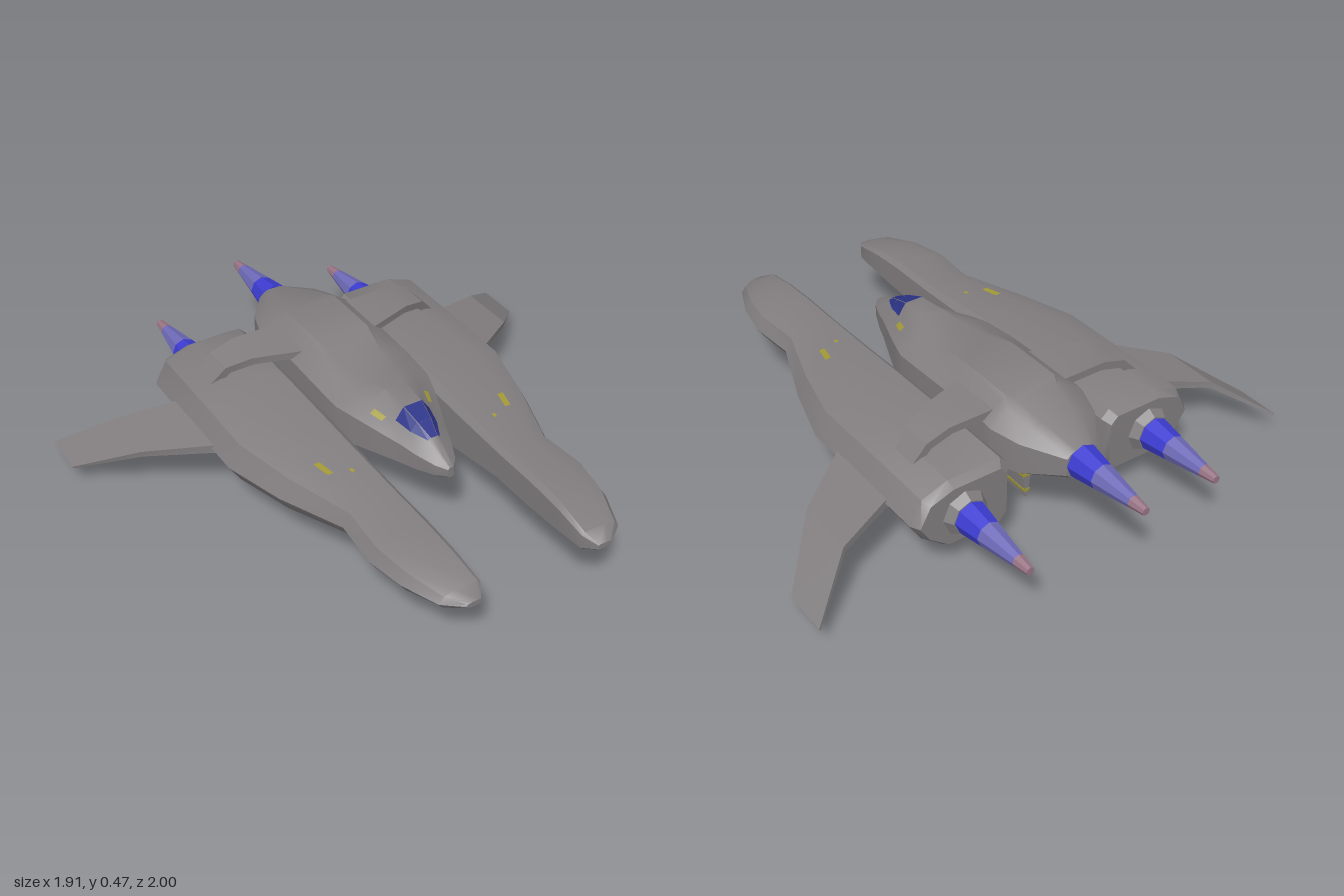
import * as THREE from 'three';
import { toCreasedNormals } from 'three/addons/utils/BufferGeometryUtils.js';

const paint = (name, color) => {
  const m = new THREE.MeshStandardMaterial({ color });
  m.name = name;
  return m;
};

// Closed skin over a list of rings, each ring a list of [x, y, z]
function loft(rings, crease = 0.6) {
  const n = rings[0].length, idx = [];
  for (let i = 0; i < rings.length - 1; i++) {
    for (let j = 0; j < n; j++) {
      const k = (j + 1) % n, a = i * n + j, b = i * n + k;
      idx.push(a, b, b + n, a, b + n, a + n);
    }
  }
  const last = (rings.length - 1) * n;
  for (let j = 1; j < n - 1; j++) idx.push(0, j + 1, j, last, last + j, last + j + 1);
  const g = new THREE.BufferGeometry();
  g.setAttribute('position', new THREE.Float32BufferAttribute(rings.flat(2), 3));
  g.setIndex(idx);
  return toCreasedNormals(g, crease);
}

// Thin face lying just above one cell of a lofted skin
function patch(rings, i, u0, u1, j, v0, v1, lift = 0.003) {
  const k = (j + 1) % rings[0].length;
  const at = (r, c) => new THREE.Vector3(...rings[r][c]);
  const point = (u, v) => at(i, j).lerp(at(i, k), v).lerp(at(i + 1, j).lerp(at(i + 1, k), v), u);
  const p = [point(u0, v0), point(u0, v1), point(u1, v1), point(u1, v0)];
  const normal = p[2].clone().sub(p[0]).cross(p[3].clone().sub(p[1])).normalize();
  const v = p.map((q) => q.addScaledVector(normal, lift).toArray());
  const g = new THREE.BufferGeometry();
  g.setAttribute('position', new THREE.Float32BufferAttribute([0, 1, 2, 0, 2, 3].flatMap((q) => v[q]), 3));
  g.computeVertexNormals();
  return g;
}

// Copy reflected across x = 0, with corner order restored
function mirror(geo) {
  const g = geo.index ? geo.toNonIndexed() : geo.clone();
  for (const name of ['position', 'normal']) {
    const a = g.attributes[name].array;
    for (let t = 0; t < a.length; t += 9) {
      for (let c = 0; c < 3; c++) [a[t + 3 + c], a[t + 6 + c]] = [a[t + 6 + c], a[t + 3 + c]];
      for (let c = 0; c < 9; c += 3) a[t + c] *= -1;
    }
  }
  return g;
}

// Wing slab from stations [x, y, thicknessX, thicknessY, leadZ, trailZ]
const slab = (stations) => loft(stations.map(([x, y, dx, dy, l, t]) =>
  [[x - dx, y - dy, l], [x - dx, y - dy, t], [x, y, t], [x, y, l]]), 0.3);

export function createModel() {
  const model = new THREE.Group();
  const hull = paint('hull grey', 0x827e80);
  const glass = paint('canopy blue', 0x2c3488);
  const yellow = paint('marking yellow', 0xa39a35);
  const blue = paint('flame blue', 0x3c3cd2);
  const lilac = paint('flame lilac', 0x6e6ab8);
  const pink = paint('flame pink', 0x987484);

  const add = (name, geo, mat) => {
    const m = new THREE.Mesh(geo, mat);
    m.name = name;
    model.add(m);
  };
  const pair = (name, geo, mat) => {
    add('left ' + name, geo, mat);
    add('right ' + name, mirror(geo), mat);
  };

  // Fuselage: z, side half width, side low y, side high y, shoulder x, y, top x, y, bottom x, y
  const body = [
    [-0.69, 0.062, 0.30, 0.365, 0.045, 0.38, 0.025, 0.388, 0.035, 0.28],
    [-0.56, 0.155, 0.27, 0.385, 0.10, 0.42, 0.06, 0.43, 0.11, 0.245],
    [-0.45, 0.19, 0.26, 0.395, 0.12, 0.445, 0.08, 0.462, 0.15, 0.235],
    [-0.41, 0.19, 0.26, 0.40, 0.12, 0.455, 0.10, 0.47, 0.16, 0.235],
    [-0.18, 0.19, 0.26, 0.40, 0.12, 0.455, 0.10, 0.47, 0.16, 0.235],
    [-0.05, 0.19, 0.26, 0.395, 0.12, 0.43, 0.08, 0.44, 0.16, 0.235],
    [0.08, 0.185, 0.26, 0.385, 0.11, 0.425, 0.06, 0.438, 0.15, 0.235],
    [0.16, 0.16, 0.265, 0.38, 0.095, 0.42, 0.04, 0.455, 0.12, 0.24],
    [0.27, 0.118, 0.275, 0.365, 0.065, 0.402, 0.035, 0.445, 0.085, 0.25],
    [0.34, 0.09, 0.28, 0.355, 0.05, 0.392, 0.025, 0.42, 0.06, 0.26],
    [0.40, 0.07, 0.285, 0.345, 0.022, 0.385, 0.012, 0.39, 0.045, 0.268],
    [0.47, 0.04, 0.295, 0.335, 0.015, 0.35, 0.008, 0.355, 0.02, 0.28],
    [0.505, 0.012, 0.305, 0.328, 0.008, 0.333, 0.005, 0.335, 0.008, 0.295],
  ].map(([z, w, lo, hi, s, ys, t, yt, b, yb]) => {
    const half = [[b, yb, z], [w, lo, z], [w, hi, z], [s, ys, z], [t, yt, z]];
    return [...half, ...half.map(([x, y]) => [-x, y, z]).reverse()];
  });
  add('fuselage', loft(body), hull);
  for (const i of [8, 9]) for (const j of [3, 4, 5]) add('canopy', patch(body, i, 0, 1, j, 0, 1), glass);
  pair('cockpit mark', patch(body, 7, 0.25, 0.7, 2, 0.55, 0.85), yellow);
  add('belly mark', patch(body, 5, 0.2, 1, 9, 0.3, 0.7), yellow);
  add('belly mark front', patch(body, 6, 0, 0.8, 9, 0.3, 0.7), yellow);

  // Side pods: z, inner x, outer x, top y, bottom y
  const pod = [
    [-0.58, 0.215, 0.55, 0.34, 0.125],
    [-0.55, 0.195, 0.57, 0.36, 0.11],
    [-0.2, 0.195, 0.57, 0.36, 0.105],
    [0.02, 0.195, 0.57, 0.355, 0.115],
    [0.25, 0.195, 0.505, 0.34, 0.135],
    [0.5, 0.195, 0.41, 0.325, 0.185],
    [0.68, 0.195, 0.425, 0.325, 0.188],
    [0.82, 0.195, 0.40, 0.315, 0.20],
    [0.95, 0.195, 0.345, 0.29, 0.22],
    [1, 0.225, 0.28, 0.265, 0.245],
  ].map(([z, xi, xo, yt, yb]) => {
    const w = xo - xi, h = yt - yb, mid = yb + h * 0.52;
    return [
      [xi + 0.08 * w, yb], [xi + 0.68 * w, yb], [xo - 0.11 * w, yb + 0.25 * h],
      [xo, mid], [xo - 0.12 * w, yt - 0.14 * h], [xi + 0.62 * w, yt],
      [xi + 0.08 * w, yt], [xi, yt - 0.12 * h], [xi, yb + 0.14 * h],
    ].map(([x, y]) => [x, y, z]);
  });
  pair('pod', loft(pod), hull);
  pair('pod mark', patch(pod, 4, 0.05, 0.32, 5, 0.02, 0.16), yellow);
  pair('pod dot', patch(pod, 4, 0.36, 0.43, 5, 0.5, 0.58), yellow);
  for (let k = 0; k < 3; k++) {
    pair('pod underside mark', patch(pod, 2, 0.1 + k * 0.28, 0.3 + k * 0.28, 0, 0.5, 0.85), yellow);
  }

  // Swept lower wings
  pair('wing', slab([
    [0.5, 0.265, 0, 0.035, -0.06, -0.39],
    [0.57, 0.25, 0, 0.032, -0.11, -0.41],
    [0.77, 0.208, 0.005, 0.022, -0.255, -0.48],
    [0.955, 0.08, 0.004, 0.008, -0.46, -0.63],
  ]), hull);

  // Arched upper braces and slanted lower struts joining pods to fuselage
  pair('upper brace', slab([
    [0.12, 0.432, 0, 0.028, -0.2, -0.41],
    [0.32, 0.432, 0.01, 0.028, -0.262, -0.41],
    [0.41, 0.405, 0.02, 0.025, -0.293, -0.41],
    [0.47, 0.34, 0.025, 0.012, -0.31, -0.41],
  ]), hull);
  pair('lower strut', slab([
    [0.12, 0.255, 0.01, 0.025, -0.13, -0.41],
    [0.25, 0.16, 0.01, 0.025, -0.13, -0.41],
  ]), hull);

  // Ventral fin with two painted bands
  const lead = [[0, -0.24], [0.02, -0.2], [0.05, -0.17], [0.1, -0.13], [0.25, -0.05]];
  const finRing = (y, z, grow = 0) => {
    const w = 0.006 + y * 0.1 + grow, end = -0.41 - grow;
    return [[0, y, z + grow], [w, y, z - 0.07], [w, y, end], [-w, y, end], [-w, y, z - 0.07]];
  };
  add('ventral fin', loft(lead.map(([y, z]) => finRing(y, z))), hull);
  for (const [y, z] of [[0.022, -0.198], [0.088, -0.14]]) {
    add('fin stripe', loft([finRing(y, z, 0.002), finRing(y + 0.012, z + 0.01, 0.002)]), yellow);
  }

  // Tapered eight-sided rings pointing backwards
  const cone = (x, y, z, len, r0, r1) => {
    const g = new THREE.CylinderGeometry(r1, r0, len, 8);
    g.rotateX(-Math.PI / 2).translate(x, y, z - len / 2);
    return toCreasedNormals(g, 0.6);
  };
  pair('engine collar', cone(0.38, 0.23, -0.57, 0.042, 0.09, 0.066), hull);

  // Exhaust flames in three bands
  const flame = (put, name, x, y, z) => {
    put(name + ' base', cone(x, y, z, 0.1, 0.062, 0.047), blue);
    put(name + ' middle', cone(x, y, z - 0.1, 0.15, 0.047, 0.024), lilac);
    put(name + ' tip', cone(x, y, z - 0.25, 0.06, 0.024, 0.015), pink);
  };
  flame(add, 'centre flame', 0, 0.335, -0.69);
  flame(pair, 'pod flame', 0.38, 0.23, -0.61);

  return model;
}
